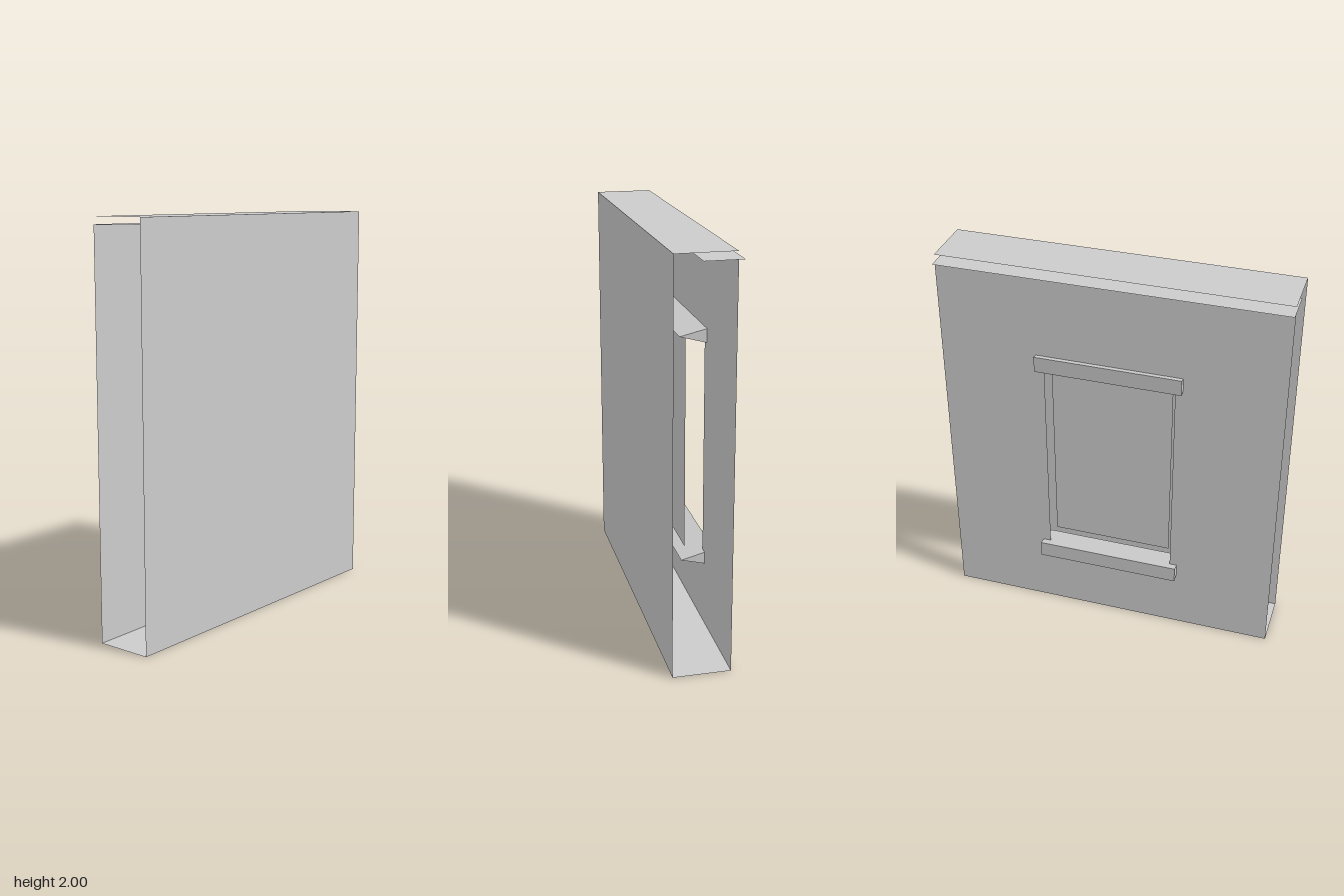
import * as THREE from 'three';

const material = new THREE.MeshStandardMaterial({ color: 0xcccccc, flatShading: true, side: THREE.DoubleSide });
const DEPTH = 1.72;
const FRONT_X = -0.12; // face with the window
const BACK_X = 0.163;

function add(group, name, geometry) {
  const mesh = new THREE.Mesh(geometry, material);
  mesh.name = name;
  group.add(mesh);
  return mesh;
}

// Thin horizontal sheet running the full depth
function sheet(x0, x1, y) {
  return new THREE.PlaneGeometry(x1 - x0, DEPTH).rotateX(-Math.PI / 2).translate((x0 + x1) / 2, y, 0);
}

// Rectangle path in (z, y)
function rect(path, z0, z1, y0, y1) {
  path.moveTo(z0, y0);
  path.lineTo(z1, y0);
  path.lineTo(z1, y1);
  path.lineTo(z0, y1);
  path.closePath();
  return path;
}

// Wedge bar: triangular section in (x, y) run along z
function wedge(points) {
  const shape = new THREE.Shape(points.map(([x, y]) => new THREE.Vector2(x, y)));
  return new THREE.ExtrudeGeometry(shape, { depth: 0.735, bevelEnabled: false }).translate(0, 0, -0.37);
}

export function createModel() {
  const group = new THREE.Group();
  group.name = 'wallSection';

  // Solid wall, floor and roof sheets; the two ends stay open
  add(group, 'solidWall', new THREE.PlaneGeometry(DEPTH, 2).rotateY(Math.PI / 2).translate(BACK_X, 1, 0));
  add(group, 'floor', sheet(FRONT_X, BACK_X, 0));
  add(group, 'roof', sheet(FRONT_X, BACK_X, 2));

  // Window wall with its opening, stopping just short of the roof
  const wall = rect(new THREE.Shape(), -DEPTH / 2, DEPTH / 2, 0, 1.963);
  wall.holes.push(rect(new THREE.Path(), -0.33, 0.327, 0.36, 1.5));
  add(group, 'windowWall', new THREE.ShapeGeometry(wall).rotateY(-Math.PI / 2).translate(FRONT_X, 0, 0));

  // Ledge sheet across the top of the window wall
  add(group, 'ledge', sheet(-0.15, 0.033, 1.963));

  // Window lintel and sill
  add(group, 'lintel', wedge([[-0.155, 1.545], [-0.15, 1.46], [0.014, 1.505]]));
  add(group, 'sill', wedge([[-0.167, 0.4], [-0.165, 0.315], [0, 0.357]]));

  // Recessed window pane
  add(group, 'pane', new THREE.PlaneGeometry(0.62, 1.09).rotateY(-Math.PI / 2).translate(-0.028, 0.955, -0.015));

  return group;
}
